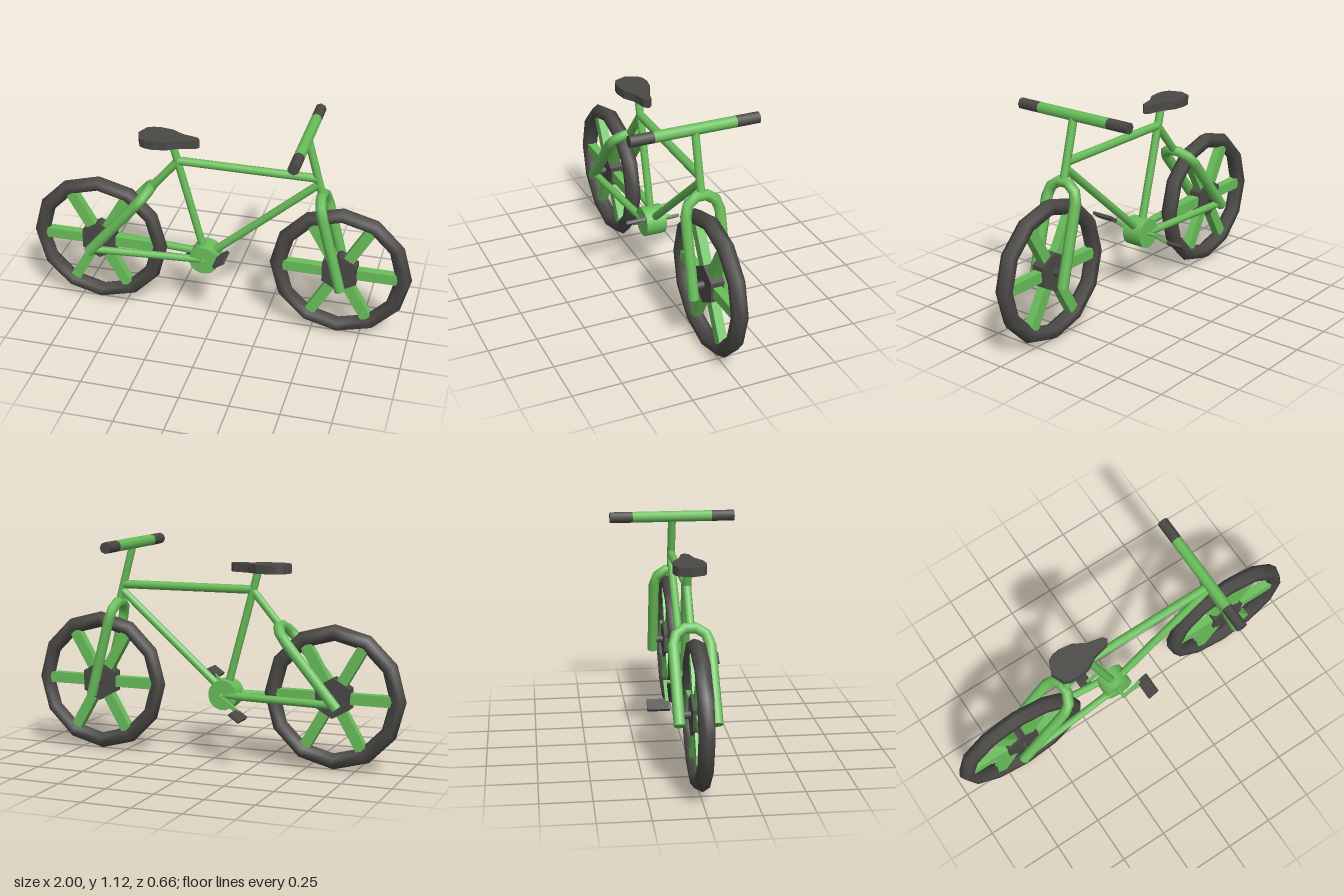
import * as THREE from 'three';

const paint = new THREE.MeshStandardMaterial({ color: 0x6abf5b });
paint.name = 'green paint';
const rubber = new THREE.MeshStandardMaterial({ color: 0x4a4946 });
rubber.name = 'dark rubber';

const V = (x, y, z = 0) => new THREE.Vector3(x, y, z);

function add(parent, name, geometry, material) {
  const mesh = new THREE.Mesh(geometry, material);
  mesh.name = name;
  parent.add(mesh);
  return mesh;
}

// Round tube between two points
function tube(parent, name, a, b, radius, material = paint, sides = 8) {
  const mesh = add(parent, name, new THREE.CylinderGeometry(radius, radius, a.distanceTo(b), sides), material);
  mesh.position.copy(a).lerp(b, 0.5);
  mesh.quaternion.setFromUnitVectors(V(0, 1, 0), b.clone().sub(a).normalize());
  return mesh;
}

// Tyre, hub, axle and three bars that make six spokes
function wheel(name, x) {
  const g = new THREE.Group();
  g.name = name;
  g.position.set(x, 0.367, 0);
  add(g, 'tyre', new THREE.TorusGeometry(0.323, 0.041, 6, 12), rubber);
  const hub = new THREE.CylinderGeometry(0.102, 0.102, 0.068, 6).rotateX(Math.PI / 2).toNonIndexed();
  hub.computeVertexNormals();
  add(g, 'hub', hub, rubber);
  tube(g, 'axle', V(0, 0, -0.085), V(0, 0, 0.085), 0.02, rubber);
  for (let i = 0; i < 3; i++) {
    add(g, 'spokes', new THREE.BoxGeometry(0.62, 0.055, 0.045), paint).rotation.z = i * Math.PI / 3;
  }
  return g;
}

// Two legs joined by a half ring, standing on its lower end
function fork(name, x, y, tilt) {
  const g = new THREE.Group();
  g.name = name;
  g.position.set(x, y, 0);
  g.rotation.z = tilt;
  const gap = 0.089, r = 0.028, leg = 0.412;
  for (const s of [-1, 1]) tube(g, 'forkLeg', V(0, 0, s * gap), V(0, leg, s * gap), r);
  const arch = new THREE.TorusGeometry(gap, r, 8, 5, Math.PI).rotateY(Math.PI / 2);
  add(g, 'forkArch', arch, paint).position.y = leg;
  return g;
}

export function createModel() {
  const bike = new THREE.Group();
  bike.name = 'bicycle';

  bike.add(wheel('rearWheel', -0.636), wheel('frontWheel', 0.636));
  bike.add(fork('frontFork', 0.652, 0.305, 0.252), fork('rearStays', -0.674, 0.326, -0.698));

  // Frame
  const bottom = V(-0.065, 0.345), seatJoint = V(-0.205, 0.882), headJoint = V(0.505, 0.88);
  tube(bike, 'seatTube', bottom, V(-0.236, 0.98), 0.021);
  tube(bike, 'topTube', seatJoint, headJoint, 0.022);
  tube(bike, 'downTube', bottom, V(0.512, 0.85), 0.021);
  tube(bike, 'steerer', V(0.53, 0.785), V(0.447, 1.095), 0.021);
  tube(bike, 'upperStay', V(-0.36, 0.7), seatJoint, 0.021);
  for (const s of [-1, 1]) {
    tube(bike, 'chainStay', V(-0.665, 0.343, s * 0.085), V(-0.08, 0.343, s * 0.037), 0.02);
  }

  // Handlebar and grips
  const bar = z => V(0.445, 1.094, z);
  tube(bike, 'handlebar', bar(-0.21), bar(0.21), 0.029);
  for (const s of [-1, 1]) tube(bike, 'grip', bar(s * 0.21), bar(s * 0.33), 0.029, rubber);

  // Saddle, narrowing to the front
  const half = [[-0.385, 0.062], [-0.355, 0.078], [-0.315, 0.083], [-0.25, 0.073], [-0.19, 0.038], [-0.11, 0.02]];
  const outline = [[-0.41, 0], ...half.map(([x, z]) => [x, -z]), [-0.094, 0], ...half.slice().reverse()];
  const saddle = new THREE.ExtrudeGeometry(
    new THREE.Shape(outline.map(([x, z]) => new THREE.Vector2(x, z))),
    { depth: 0.044, bevelEnabled: false }
  ).rotateX(-Math.PI / 2);
  add(bike, 'saddle', saddle, rubber).position.y = 0.97;

  // Crankset: drum, spindle, and an arm with a pedal on each side
  const crank = new THREE.Group();
  crank.name = 'crankset';
  crank.position.copy(bottom);
  crank.rotation.z = 0.61;
  bike.add(crank);
  tube(crank, 'crankDrum', V(0, 0, -0.054), V(0, 0, 0.054), 0.077, paint, 16);
  for (const s of [-1, 1]) {
    tube(crank, 'spindle', V(0, 0, s * 0.05), V(0, 0, s * 0.102), 0.01);
    add(crank, 'crankArm', new THREE.BoxGeometry(0.13, 0.018, 0.016), paint).position.set(s * 0.06, 0, s * 0.095);
    add(crank, 'pedal', new THREE.BoxGeometry(0.065, 0.016, 0.112), rubber).position.set(s * 0.142, 0, s * 0.141);
  }
  return bike;
}
